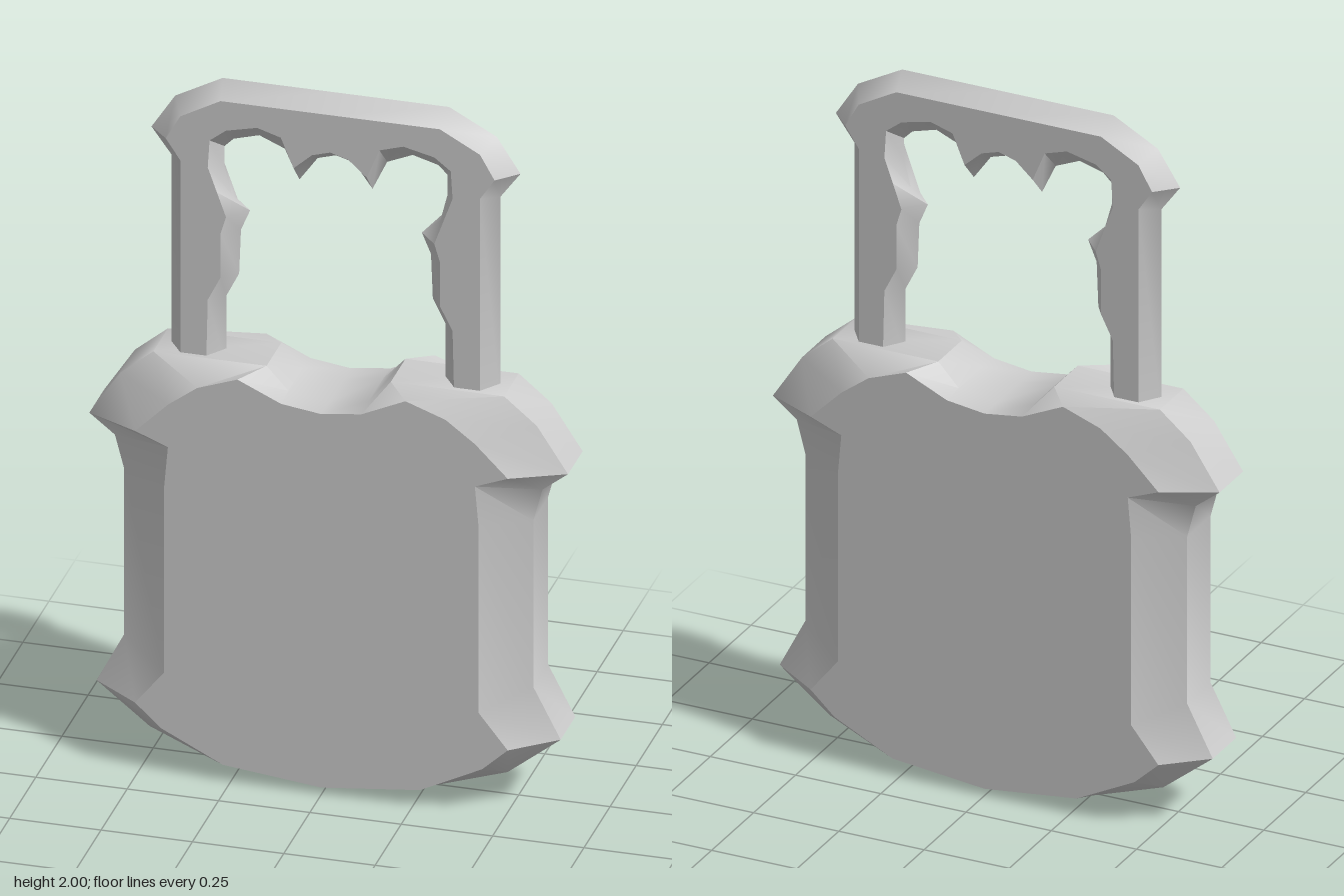
import * as THREE from 'three';
import { toCreasedNormals } from 'three/addons/utils/BufferGeometryUtils.js';

// Half outlines, running from the top centre round to the lower centre: [rimX, rimY, faceX, faceY]
const BODY = [
  [0, 1.12, 0, 1.12], [0.11, 1.14, 0.11, 1.135], [0.17, 1.205, 0.23, 1.19],
  [0.48, 1.205, 0.34, 1.15], [0.57, 1.13, 0.42, 1.09], [0.655, 1.0, 0.51, 1.0],
  [0.585, 0.945, 0.42, 0.965], [0.56, 0.85, 0.43, 0.85], [0.56, 0.36, 0.43, 0.3],
  [0.635, 0.215, 0.51, 0.2], [0.49, 0.1, 0.44, 0.135], [0.28, 0.03, 0.27, 0.05],
  [0, 0, 0, 0.02],
];
const SHACKLE = [
  [0, 2, 0, 1.96], [0.31, 2, 0.3, 1.96], [0.44, 1.93, 0.41, 1.9],
  [0.505, 1.83, 0.45, 1.83], [0.45, 1.755, 0.41, 1.77], [0.45, 1.15, 0.41, 1.15],
  [0.3, 1.15, 0.34, 1.15], [0.3, 1.36, 0.335, 1.37], [0.265, 1.43, 0.3, 1.44],
  [0.26, 1.56, 0.3, 1.57], [0.235, 1.62, 0.285, 1.62], [0.285, 1.66, 0.31, 1.69],
  [0.305, 1.74, 0.335, 1.76], [0.305, 1.8, 0.33, 1.84], [0.28, 1.825, 0.285, 1.875],
  [0.21, 1.845, 0.2, 1.895], [0.14, 1.815, 0.135, 1.875], [0.1, 1.73, 0.1, 1.79],
  [0.05, 1.8, 0.05, 1.835], [0, 1.815, 0, 1.85],
];

// Mirror a half outline into a closed counter-clockwise loop
function closeLoop(half, k) {
  const right = half.map((p) => new THREE.Vector2(p[k], p[k + 1]));
  const left = right.slice(1, -1).map((p) => new THREE.Vector2(-p.x, p.y));
  return [...left, ...right.slice().reverse()];
}

// Bevelled plate: rim loops at +-rimZ (one ridge when rimZ is 0), face loops at +-faceZ
function bevelledPlate(name, half, rimZ, faceZ, crease, material) {
  const rim = closeLoop(half, 0), face = closeLoop(half, 2);
  const rings = [[face, -faceZ], [rim, -rimZ], [rim, rimZ], [face, faceZ]];
  if (rimZ === 0) rings.splice(1, 1);
  const group = new THREE.Group();
  group.name = name;

  const n = rim.length;
  const points = rings.flatMap(([loop, z]) => loop.flatMap((p) => [p.x, p.y, z]));
  const index = [];
  for (let r = 0; r < rings.length - 1; r++) {
    for (let i = 0; i < n; i++) {
      const j = (i + 1) % n;
      const a = r * n + i, b = r * n + j;
      index.push(a, b, b + n, a, b + n, a + n);
    }
  }
  const sides = new THREE.BufferGeometry();
  sides.setAttribute('position', new THREE.Float32BufferAttribute(points, 3));
  sides.setIndex(index);
  const edge = new THREE.Mesh(toCreasedNormals(sides, crease), material);
  edge.name = name + 'Edge';
  group.add(edge);

  // Flat front and back faces
  for (const side of [1, -1]) {
    const plate = new THREE.Mesh(new THREE.ShapeGeometry(new THREE.Shape(face)), material);
    plate.name = name + (side > 0 ? 'Front' : 'Back');
    plate.position.z = side * faceZ;
    if (side < 0) plate.rotation.y = Math.PI; // outline is symmetric about x = 0
    group.add(plate);
  }
  return group;
}

export function createModel() {
  const grey = new THREE.MeshStandardMaterial({ color: 0xcccccc });
  grey.name = 'light grey';

  const model = new THREE.Group();
  model.name = 'padlock';
  model.add(
    bevelledPlate('body', BODY, 0.07, 0.14, 0.7, grey),
    bevelledPlate('shackle', SHACKLE, 0, 0.056, 0.7, grey),
  );
  return model;
}
